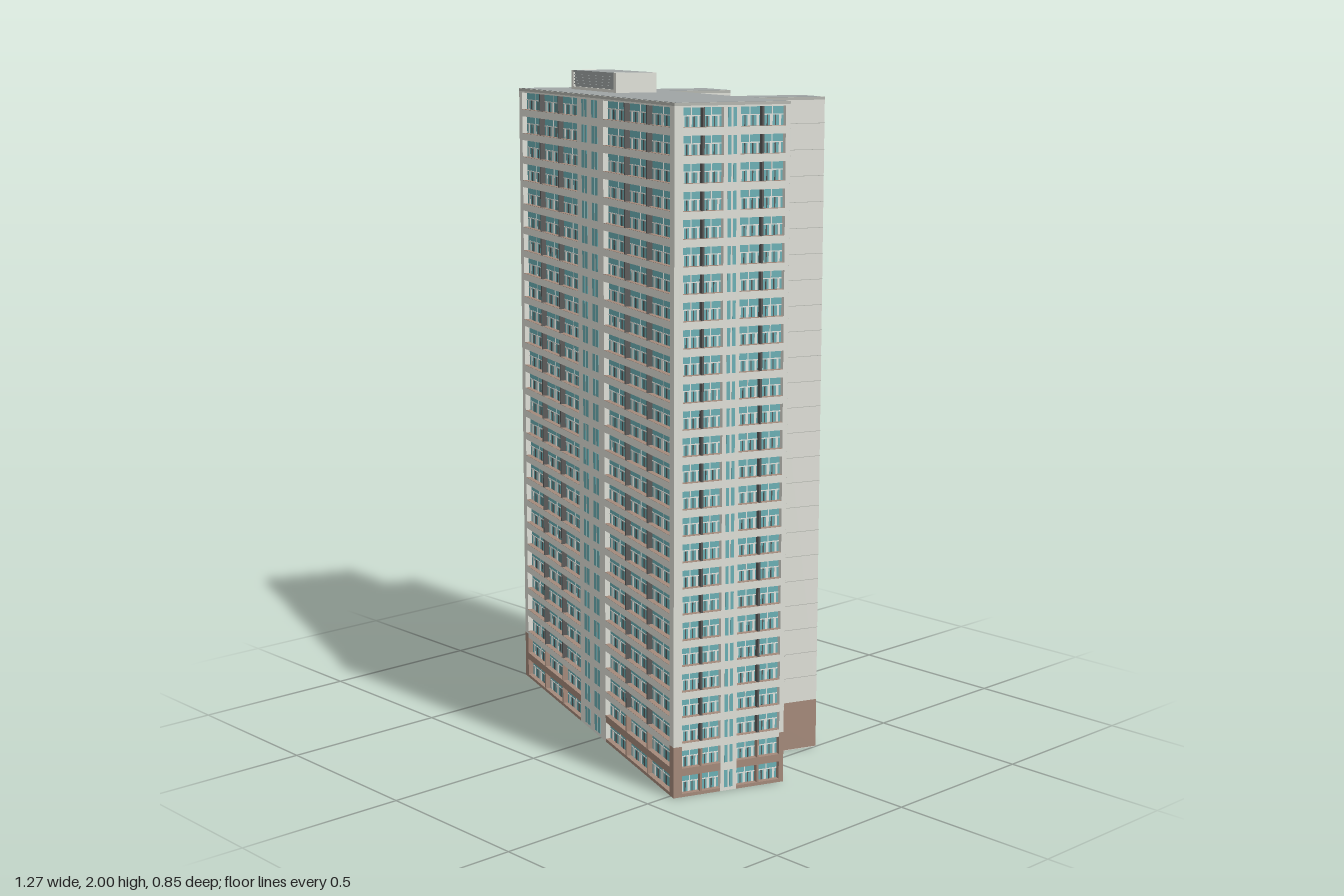
import * as THREE from 'three';
import { mergeGeometries } from 'three/addons/utils/BufferGeometryUtils.js';

const FLOORS = 26, TOP = 1.94, H = TOP / FLOORS, BASE = 2 * H, DEPTH = 0.02;

const paint = (name, color) => {
  const m = new THREE.MeshStandardMaterial({ color });
  m.name = name;
  return m;
};

// Collects boxes by name and turns each batch into one mesh
class Batch {
  constructor() { this.parts = new Map(); }
  box(name, mat, x0, x1, y0, y1, z0, z1) {
    const g = new THREE.BoxGeometry(x1 - x0, y1 - y0, z1 - z0);
    g.translate((x0 + x1) / 2, (y0 + y1) / 2, (z0 + z1) / 2);
    if (!this.parts.has(name)) this.parts.set(name, { mat, list: [] });
    this.parts.get(name).list.push(g);
  }
  build(groupName) {
    const group = new THREE.Group();
    group.name = groupName;
    for (const [name, { mat, list }] of this.parts) {
      const mesh = new THREE.Mesh(mergeGeometries(list), mat);
      mesh.name = name;
      group.add(mesh);
    }
    return group;
  }
}

// Ground plan: long slab with two rear wings; d pulls in the windowed faces
const plan = (d, inset = 0) => [
  [-0.598 + d + inset, 0.219 - d - inset], [0.631 - d - inset, 0.219 - d - inset],
  [0.631 - d - inset, -0.125 + inset], [0.406 - inset, -0.125 + inset],
  [0.406 - inset, -0.347 + inset], [0.27 + inset, -0.347 + inset],
  [0.27 + inset, -0.125 + d + inset], [-0.175 - inset, -0.125 + d + inset],
  [-0.175 - inset, -0.324 + inset], [-0.356 + inset, -0.324 + inset],
  [-0.356 + inset, -0.125 + inset], [-0.598 + d + inset, -0.125 + inset],
];

function prism(name, points, y0, y1, mat) {
  const shape = new THREE.Shape(points.map(([x, z]) => new THREE.Vector2(x, -z)));
  const g = new THREE.ExtrudeGeometry(shape, { depth: y1 - y0, bevelEnabled: false });
  g.rotateX(-Math.PI / 2).translate(0, y0, 0);
  const mesh = new THREE.Mesh(g, mat);
  mesh.name = name;
  return mesh;
}

export function createModel() {
  const wall = paint('pale wall', 0xdfe0d8), brown = paint('brown base', 0xa58a7b);
  const glass = paint('teal glass', 0x6bb0b5), frame = paint('white frame', 0xe2e4df);
  const dark = paint('dark grey', 0x5a5958), roofGrey = paint('roof grey', 0x9fa5a5);
  const joint = paint('joint grey', 0xb4b6af);

  const model = new THREE.Group();
  model.name = 'towerBlock';
  const tower = new THREE.Group();
  tower.name = 'tower';
  tower.rotation.y = -0.345;
  model.add(tower);

  // Solid core, base and roof
  tower.add(prism('groundSlab', plan(0, 0.001), 0, 0.004, wall));
  tower.add(prism('baseWalls', plan(DEPTH), 0.002, BASE, brown));
  tower.add(prism('upperWalls', plan(DEPTH), BASE, TOP - 0.008, wall));
  tower.add(prism('roofEdge', plan(0), TOP - 0.008, TOP, joint));
  tower.add(prism('roofDeck', plan(0, 0.007), TOP - 0.004, TOP + 0.001, roofGrey));

  // Windowed facade. blocks: [x0, x1, bays]; slots: [x0, x1] paired panes on a pier
  function facade(name, width, blocks, slots, pos, turn) {
    const b = new Batch();
    // Piers between blocks; the outer ones have a brown foot
    let x = 0;
    [...blocks, [width, width, 0]].forEach(([x0, x1], i) => {
      const outer = i === 0 || i === blocks.length;
      if (outer) b.box('pierFeet', brown, x, x0, 0, BASE, 0, DEPTH);
      b.box('piers', wall, x, x0, outer ? BASE : 0, TOP - 0.008, 0, DEPTH);
      x = x1;
    });
    for (let k = 0; k <= FLOORS; k++) {
      const y = k * H, low = k < 2;
      const s0 = Math.max(0, y - 0.0126), s1 = Math.min(TOP - 0.008, y + 0.009);
      for (const [x0, x1, bays] of blocks) {
        // Floor band, topped by a brown sill
        b.box(low ? 'baseBands' : 'floorBands', low ? brown : wall, x0, x1, s0, s1, 0, DEPTH);
        if (k === FLOORS) continue;
        b.box('sills', brown, x0, x1, y + 0.009, y + 0.0096, 0, DEPTH);
        b.box('glazing', glass, x0, x1, y + 0.0096, y + 0.062, 0, 0.004);
        b.box('transoms', frame, x0, x1, y + 0.038, y + 0.041, 0, 0.005);
        const w = (x1 - x0) / bays;
        for (let i = 0; i < bays; i++) {
          const c = x0 + i * w;
          // Dividing fins between bays
          if (i > 0)
            b.box(low ? 'baseFins' : 'fins', low ? brown : dark, c - 0.003, c + 0.003, y + 0.0096, y + 0.062, 0, DEPTH);
          // Upper mullion, then white and dark panels below the transom
          b.box('mullions', frame, c + 0.5 * w - 0.0015, c + 0.5 * w + 0.0015, y + 0.041, y + 0.062, 0, 0.005);
          for (const [t0, t1] of [[0.08, 0.16], [0.4, 0.52], [0.8, 0.9]])
            b.box('whitePanels', frame, c + t0 * w, c + t1 * w, y + 0.0096, y + 0.038, 0, 0.005);
          for (const t of [0.26, 0.62])
            b.box('darkPanels', dark, c + t * w, c + (t + 0.05) * w, y + 0.0096, y + 0.038, 0, 0.005);
        }
      }
      if (k === FLOORS) continue;
      // Narrow paired panes
      for (const [x0, x1] of slots) {
        const m = (x0 + x1) / 2;
        for (const [l, r] of [[x0, m - 0.003], [m + 0.003, x1]])
          b.box('narrowWindows', glass, l, r, y + 0.01, y + 0.061, DEPTH - 0.001, DEPTH + 0.0006);
      }
    }
    const g = b.build(name);
    g.position.set(pos[0], 0, pos[1]);
    g.rotation.y = turn;
    tower.add(g);
  }
  facade('frontFacade', 1.229, [[0.027, 0.51, 3], [0.717, 1.2, 3]],
    [[0.547, 0.589], [0.627, 0.672]], [-0.598, 0.199], 0);
  const endBlocks = [[0.006, 0.125, 2], [0.175, 0.31, 2]];
  facade('leftEndFacade', 0.324, endBlocks, [[0.137, 0.163]], [0.611, 0.199], Math.PI / 2);
  facade('rightEndFacade', 0.324, endBlocks.map(([a, c, n]) => [0.324 - c, 0.324 - a, n]).reverse(),
    [[0.161, 0.187]], [-0.578, -0.125], -Math.PI / 2);
  facade('rearFacade', 0.445, [[0.012, 0.15, 2], [0.295, 0.433, 2]],
    [[0.163, 0.208], [0.237, 0.282]], [0.27, -0.105], Math.PI);

  // Fine floor joints on the plain rear walls
  const joints = new Batch();
  const p = plan(0);
  for (const i of [2, 3, 4, 5, 7, 8, 9, 10]) {
    const [ax, az] = p[i], [bx, bz] = p[i + 1], e = 0.0006;
    for (let k = 3; k < FLOORS; k++)
      joints.box('floorJoints', joint, Math.min(ax, bx) - e, Math.max(ax, bx) + e,
        k * H, k * H + 0.0015, Math.min(az, bz) - e, Math.max(az, bz) + e);
  }
  tower.add(joints.build('wallJoints'));

  // Rooftop plant room with louvred long sides
  const plant = new Batch();
  const [x0, x1, z0, z1] = [-0.442, -0.072, -0.03, 0.101], END = 0.018;
  plant.box('plantEnds', wall, x0, x0 + END, TOP, 2, z0, z1);
  plant.box('plantEnds', wall, x1 - END, x1, TOP, 2, z0, z1);
  plant.box('plantCore', roofGrey, x0 + END, x1 - END, TOP, 1.994, z0 + 0.006, z1 - 0.006);
  plant.box('plantRoof', roofGrey, x0 + END, x1 - END, 1.994, 2, z0, z1);
  plant.box('plantKerb', wall, x0 + END, x1 - END, TOP, 1.95, z0, z1);
  for (let i = 0; i < 4; i++) {
    const y = 1.957 + i * 0.009;
    plant.box('louvres', roofGrey, x0 + END, x1 - END, y, y + 0.003, z0 + 0.002, z1 - 0.002);
  }
  tower.add(plant.build('plantRoom'));
  return model;
}
